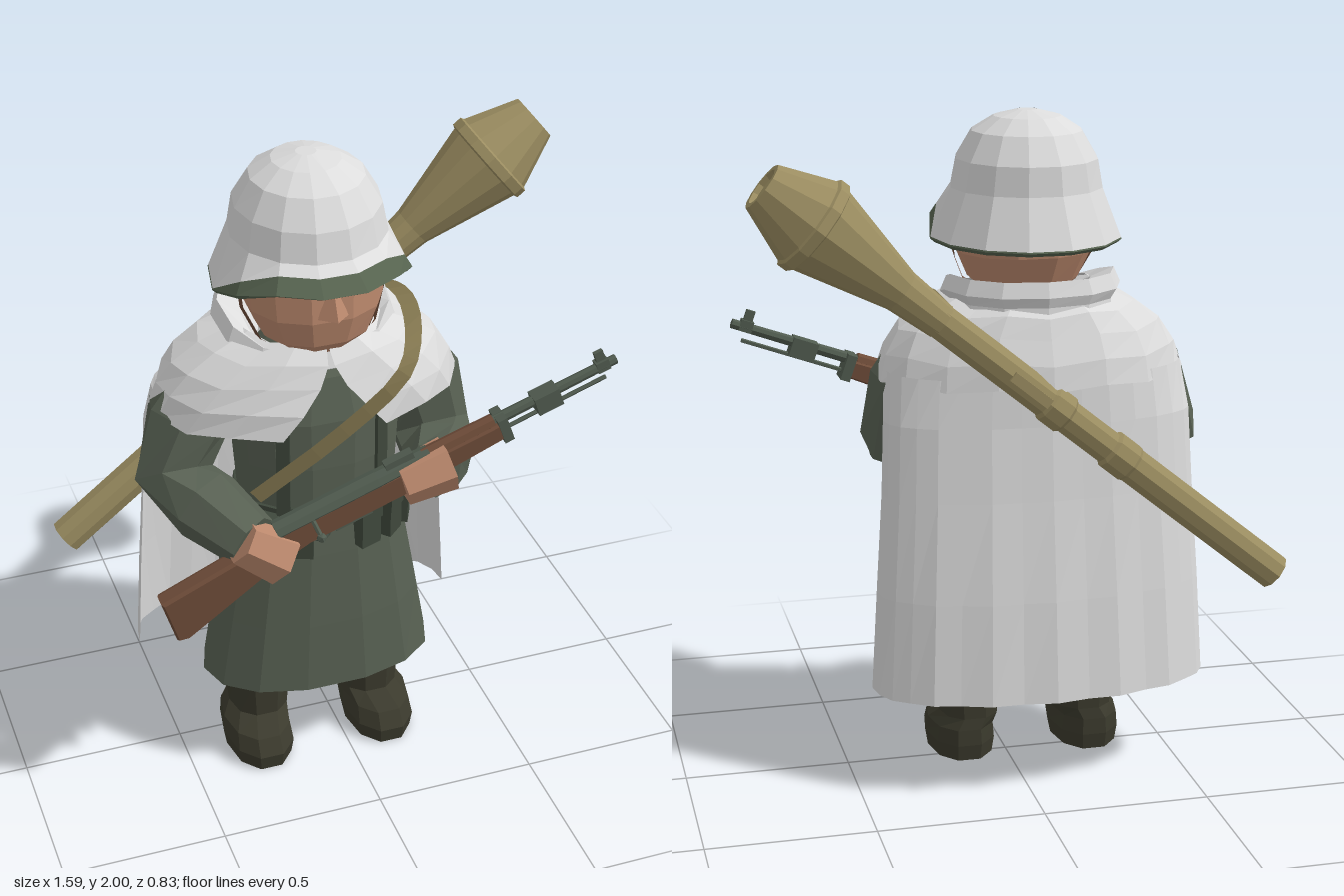
import * as THREE from 'three';

const mat = (name, color, side = THREE.FrontSide) => {
  const m = new THREE.MeshStandardMaterial({ color, flatShading: true, side });
  m.name = name;
  return m;
};
const V = (x, y, z) => new THREE.Vector3(x, y, z);
const CX = -0.07; // the figure stands slightly off centre

// Elliptical cross-section, starting at the front; p < 1 squares it off
function ring(y, rx, rz, cz = 0, n = 14, p = 0.9, cx = 0) {
  const f = (s) => Math.sign(s) * Math.abs(s) ** p;
  return Array.from({ length: n }, (_, i) => {
    const a = ((i + 0.5) / n) * Math.PI * 2;
    return V(cx + rx * f(Math.sin(a)), y, cz + rz * f(Math.cos(a)));
  });
}

// Skin over a stack of cross-sections
function skin(rings, closed = true, capped = true) {
  const pos = [];
  const tri = (...ps) => ps.forEach((p) => pos.push(p.x, p.y, p.z));
  const n = rings[0].length;
  for (let i = 0; i < rings.length - 1; i++) {
    for (let j = 0; j < (closed ? n : n - 1); j++) {
      const k = (j + 1) % n, a = rings[i], b = rings[i + 1];
      tri(a[j], a[k], b[k]);
      tri(a[j], b[k], b[j]);
    }
  }
  if (closed && capped) {
    const lo = rings[0], hi = rings[rings.length - 1];
    for (let j = 1; j < n - 1; j++) {
      tri(lo[0], lo[j + 1], lo[j]);
      tri(hi[0], hi[j], hi[j + 1]);
    }
  }
  const g = new THREE.BufferGeometry();
  g.setAttribute('position', new THREE.Float32BufferAttribute(pos, 3));
  g.computeVertexNormals();
  return g;
}

// Round limb through [x, y, z, radius] points
function limb(pts, n = 7, ref = V(1, 0, 0)) {
  const c = pts.map((p) => V(p[0], p[1], p[2]));
  return skin(c.map((p, i) => {
    const t = c[Math.min(i + 1, c.length - 1)].clone().sub(c[Math.max(i - 1, 0)]).normalize();
    const u = ref.clone().cross(t).normalize(), w = t.clone().cross(u);
    return Array.from({ length: n }, (_, j) => {
      const a = (j / n) * Math.PI * 2;
      return p.clone().addScaledVector(u, pts[i][3] * Math.cos(a)).addScaledVector(w, pts[i][3] * Math.sin(a));
    });
  }));
}

export function createModel() {
  const DS = THREE.DoubleSide;
  const white = mat('winter white', 0xdcdcdc, DS), coatGreen = mat('coat green', 0x586153);
  const gear = mat('dark gear', 0x3f483c), boot = mat('boot leather', 0x3b3a2d);
  const flesh = mat('skin', 0xbd8a6e), wood = mat('wood', 0x6d4b38, DS);
  const metal = mat('gun metal', 0x505b4f), tan = mat('launcher tan', 0x9b8d61);
  const webbing = mat('webbing', 0x7f734d, DS), rimGreen = mat('helmet green', 0x56634f, DS);

  const model = new THREE.Group();
  const body = new THREE.Group();
  body.name = 'body';
  body.position.x = CX;
  model.add(body);
  const add = (parent, name, geo, m, x = 0, y = 0, z = 0) => {
    const o = new THREE.Mesh(geo, m);
    o.name = name;
    o.position.set(x, y, z);
    parent.add(o);
    return o;
  };
  const box = (w, h, d) => new THREE.BoxGeometry(w, h, d);

  // Coat and belt
  add(body, 'coat', skin([
    ring(0.32, 0.365, 0.215, 0.085), ring(0.55, 0.325, 0.205, 0.085), ring(0.8, 0.28, 0.19, 0.085),
    ring(0.95, 0.24, 0.175, 0.085), ring(1.1, 0.25, 0.185, 0.08), ring(1.25, 0.26, 0.185, 0.075),
    ring(1.38, 0.2, 0.165, 0.06), ring(1.46, 0.12, 0.12, 0.05)]), coatGreen);
  add(body, 'belt', skin([ring(0.92, 0.255, 0.187, 0.085), ring(0.97, 0.25, 0.187, 0.085)]), gear);

  for (const s of [-1, 1]) {
    // Boots with trouser cuffs, the shafts set a little inward of the feet
    const shaft = (y, rx, rz) => ring(y, rx, rz, 0.04, 10, 0.85, -s * 0.018);
    add(body, 'boot', skin([
      ring(0, 0.1, 0.165, 0.09, 10), ring(0.05, 0.108, 0.173, 0.09, 10), ring(0.1, 0.102, 0.155, 0.075, 10),
      shaft(0.135, 0.092, 0.113), shaft(0.27, 0.105, 0.115)]), boot, s * 0.2);
    add(body, 'trouserCuff', skin([
      shaft(0.255, 0.108, 0.118), shaft(0.28, 0.132, 0.13), shaft(0.33, 0.135, 0.135)]), boot, s * 0.2);
    // Ammunition pouches around the belt
    for (const a of [0.38, 0.75, 1.12]) {
      const x = s * Math.sin(a) * 0.265, z = 0.085 + Math.cos(a) * 0.185;
      add(body, 'pouch', box(0.072, 0.13, 0.065), gear, x, 0.88, z).rotation.y = s * a;
      add(body, 'pouchFlap', box(0.078, 0.05, 0.073), gear, x, 0.93, z).rotation.y = s * a;
    }
    add(body, 'chestStrap', box(0.04, 0.3, 0.012), gear, s * 0.15, 1.1, 0.248).rotation.y = s * 0.45;
  }

  // Arms and hands
  const hand = (x, y, z, tilt) => {
    const h = add(model, 'hand', new THREE.CylinderGeometry(0.07, 0.085, 0.15, 6), flesh, x, y, z);
    h.rotation.z = tilt;
    h.scale.z = 0.9;
  };
  add(model, 'rightArm', limb([[-0.36, 1.34, 0, 0.1], [-0.43, 1.2, 0, 0.13], [-0.495, 1.03, 0.035, 0.122],
    [-0.43, 0.985, 0.16, 0.115], [-0.335, 0.93, 0.31, 0.088]]), coatGreen);
  add(model, 'leftArm', limb([[0.22, 1.34, 0, 0.1], [0.285, 1.2, 0, 0.13], [0.318, 1.025, 0.025, 0.122],
    [0.3, 1.0, 0.15, 0.112], [0.225, 1.05, 0.3, 0.085]]), coatGreen);
  hand(-0.315, 0.915, 0.335, 0.95);
  hand(0.185, 1.07, 0.335, 1.85);

  // Head, nose and chin strap
  add(body, 'head', skin([
    ring(1.36, 0.11, 0.1, 0.03, 12), ring(1.44, 0.1, 0.12, 0.07, 12), ring(1.495, 0.165, 0.16, 0.075, 12),
    ring(1.58, 0.202, 0.192, 0.065, 12), ring(1.68, 0.21, 0.2, 0.055, 12), ring(1.78, 0.19, 0.19, 0.04, 12)]), flesh);
  const nose = add(body, 'nose', new THREE.CylinderGeometry(0.012, 0.045, 0.1, 4), flesh, 0, 1.645, 0.247);
  nose.rotation.x = -0.12;
  add(body, 'chinStrap', skin([0, 0.035].map((w) => [[-0.218, 1.68, 0.07], [-0.212, 1.58, 0.09], [-0.172, 1.49, 0.13],
    [-0.09, 1.432, 0.15], [0.09, 1.432, 0.15], [0.172, 1.49, 0.13], [0.212, 1.58, 0.09], [0.218, 1.68, 0.07],
  ].map(([x, y, z]) => V(x, y - w / 2, z - w))), false), wood);

  // Helmet: white dome and skirt, green visor band that narrows to a thin rim, green lining
  const frontness = (p) => Math.max(0, Math.min(1, (p.z - 0.08) / 0.2));
  const brim = (rx, rz, lift) => ring(1.625, rx, rz, 0.045, 14, 1).map((p) => {
    p.y += 0.095 * frontness(p) + lift;
    return p;
  });
  const edge = brim(0.288, 0.325, 0);
  const skirtTop = ring(1.775, 0.228, 0.243, 0.03, 14, 1);
  const bandTop = edge.map((p, i) => p.clone().lerp(skirtTop[i], 0.03 + 0.57 * frontness(p)));
  add(body, 'helmet', skin([bandTop, skirtTop, ring(1.86, 0.212, 0.228, 0.025, 14, 1),
    ring(1.94, 0.165, 0.175, 0.025, 14, 1), ring(1.982, 0.1, 0.105, 0.02, 14, 1),
    ring(2.0, 0.03, 0.03, 0.02, 14, 1)], true, false), white);
  add(body, 'helmetCrown', new THREE.CircleGeometry(0.031, 14), white, 0, 1.9995, 0.02).rotation.x = -Math.PI / 2;
  add(body, 'helmetVisor', skin([
    brim(0.2, 0.2, 0.015), brim(0.275, 0.305, -0.012), edge, bandTop], true, false), rimGreen);

  // Bunched hood around the neck, dipping at the front
  const dip = (r) => r.map((p) => { p.y -= 0.42 * Math.max(0, p.z); return p; });
  add(body, 'hood', skin([
    ring(1.41, 0.265, 0.24, -0.01, 13), ring(1.46, 0.25, 0.225, -0.02, 13), ring(1.49, 0.27, 0.235, -0.02, 13),
    ring(1.535, 0.25, 0.22, -0.02, 13), ring(1.5, 0.19, 0.17, 0.01, 13), ring(1.43, 0.15, 0.13, 0.03, 13),
  ].map(dip), true, false), white);

  // Shoulder cape with a V opening at the front
  const mantleRow = ([y, rx, rz, cz, gap]) => Array.from({ length: 17 }, (_, i) => {
    const a = gap + (i / 16) * (Math.PI * 2 - 2 * gap);
    return V(rx * Math.sin(a), y + (i % 2) * 0.012, cz + rz * Math.cos(a));
  });
  add(body, 'shoulderCape', skin([
    [1.225, 0.47, 0.305, -0.015, 0.34], [1.3, 0.445, 0.298, -0.012, 0.22], [1.37, 0.4, 0.272, -0.01, 0.1],
    [1.43, 0.32, 0.25, -0.01, 0.03], [1.48, 0.21, 0.2, 0, 0.01]].map(mantleRow), false), white);

  // Long cape hanging down the back in shallow folds
  const drape = ([y, rx, z0, depth, fold]) => Array.from({ length: 17 }, (_, i) => {
    const u = (i / 16) * Math.PI, k = 1 + (i % 2 ? -fold : fold);
    return V(rx * Math.cos(u), y, z0 - depth * k * Math.sin(u) ** 0.8);
  });
  add(body, 'backCape', skin([
    [0.295, 0.513, -0.13, 0.248, 0.025], [0.6, 0.495, -0.13, 0.22, 0.02], [0.9, 0.475, -0.125, 0.19, 0.012],
    [1.12, 0.465, -0.11, 0.185, 0.01], [1.26, 0.45, -0.04, 0.25, 0]].map(drape), false), white);

  // Launcher slung across the back
  const from = V(-0.757, 0.628, -0.312), to = V(0.75, 1.848, -0.27);
  const launcher = new THREE.Group();
  launcher.name = 'launcher';
  launcher.position.copy(from);
  launcher.quaternion.setFromUnitVectors(V(0, 1, 0), to.clone().sub(from).normalize());
  model.add(launcher);
  const lathe = (pts, n = 10) => new THREE.LatheGeometry(pts.map(([r, y]) => new THREE.Vector2(r, y)), n);
  add(launcher, 'launchTube', lathe([[0, 0.01], [0.042, 0.01], [0.045, 0], [0.056, 0], [0.056, 0.58], [0.061, 0.59],
    [0.061, 0.66], [0.052, 0.67], [0.052, 0.83], [0.061, 0.84], [0.061, 0.9], [0.053, 0.91], [0.053, 1.38], [0, 1.38]]), tan);
  add(launcher, 'warhead', lathe([[0, 1.3], [0.053, 1.3], [0.064, 1.45], [0.135, 1.74], [0.147, 1.745], [0.147, 1.775],
    [0.137, 1.78], [0.074, 1.94], [0.058, 1.94], [0.052, 1.925], [0, 1.925]], 12), tan);
  add(launcher, 'tubeSight', box(0.03, 0.14, 0.02), tan, 0, 0.98, -0.05);

  // Carrying strap over the left shoulder
  const centre = new THREE.CatmullRomCurve3([V(-0.31, 1.05, 0.265), V(-0.05, 1.24, 0.295), V(0.14, 1.38, 0.267),
    V(0.215, 1.445, 0.14), V(0.238, 1.478, 0), V(0.215, 1.45, -0.15), V(0.14, 1.34, -0.3)]).getPoints(18);
  add(model, 'carryingStrap', skin([-0.027, 0.027].map((w) => centre.map((p, i) => {
    const k = Math.min(1, Math.max(0, (i - 5) / 5));
    return p.clone().addScaledVector(V(0.6 + 0.4 * k, -0.8 * (1 - k), 0).normalize(), w);
  })), false), webbing);

  // Rifle held across the chest, built along its own x axis
  const rifle = new THREE.Group();
  rifle.name = 'rifle';
  rifle.position.set(0, 1.035, 0.325);
  rifle.rotation.z = 0.345;
  model.add(rifle);
  const outline = new THREE.Shape([[-0.662, -0.016], [-0.668, -0.152], [-0.64, -0.16], [-0.4, -0.092], [-0.3, -0.064],
    [-0.2, -0.047], [0.1, -0.048], [0.45, -0.03], [0.45, 0.015], [-0.25, 0.02], [-0.33, 0], [-0.42, 0.002]]
    .map(([x, y]) => new THREE.Vector2(x, y)));
  add(rifle, 'stock', new THREE.ExtrudeGeometry(outline, { depth: 0.042, bevelThickness: 0.013, bevelSize: 0.006,
    bevelSegments: 1 }), wood, 0, 0, -0.021);
  const rod = (name, x0, x1, r0, r1, y, m, n = 8) => {
    const o = add(rifle, name, new THREE.CylinderGeometry(r1, r0, x1 - x0, n), m, (x0 + x1) / 2, y, 0);
    o.rotation.z = -Math.PI / 2;
    return o;
  };
  rod('receiver', -0.28, 0.05, 0.028, 0.028, 0.024, metal).scale.z = 1.3;
  rod('barrelBreech', 0.05, 0.22, 0.026, 0.022, 0.024, metal).scale.z = 1.4;
  rod('handguard', 0.2, 0.43, 0.027, 0.024, 0.02, wood);
  rod('barrel', 0.42, 0.835, 0.018, 0.015, 0.02, metal);
  rod('cleaningRod', 0.44, 0.79, 0.007, 0.007, -0.022, metal, 5);
  for (const x of [0.25, 0.45]) add(rifle, 'barrelBand', box(0.03, 0.082, 0.075), metal, x, -0.005, 0);
  add(rifle, 'noseCap', box(0.08, 0.058, 0.055), metal, 0.6, 0.008, 0);
  add(rifle, 'frontSightBase', box(0.04, 0.035, 0.03), metal, 0.79, 0.025, 0);
  add(rifle, 'frontSight', box(0.028, 0.04, 0.014), metal, 0.79, 0.055, 0);
  add(rifle, 'rearSight', box(0.09, 0.025, 0.03), metal, 0.13, 0.052, 0);
  add(rifle, 'magazinePlate', box(0.12, 0.02, 0.04), metal, -0.06, -0.055, 0);
  add(rifle, 'triggerGuard', new THREE.TorusGeometry(0.03, 0.006, 4, 10, Math.PI), metal, -0.16, -0.052, 0).rotation.z = Math.PI;
  const bolt = add(rifle, 'boltHandle', new THREE.CylinderGeometry(0.008, 0.008, 0.07, 6), metal, -0.17, 0.005, 0.045);
  bolt.rotation.x = -0.9;
  add(rifle, 'boltKnob', new THREE.IcosahedronGeometry(0.016), metal, -0.17, -0.02, 0.07);

  return model;
}
